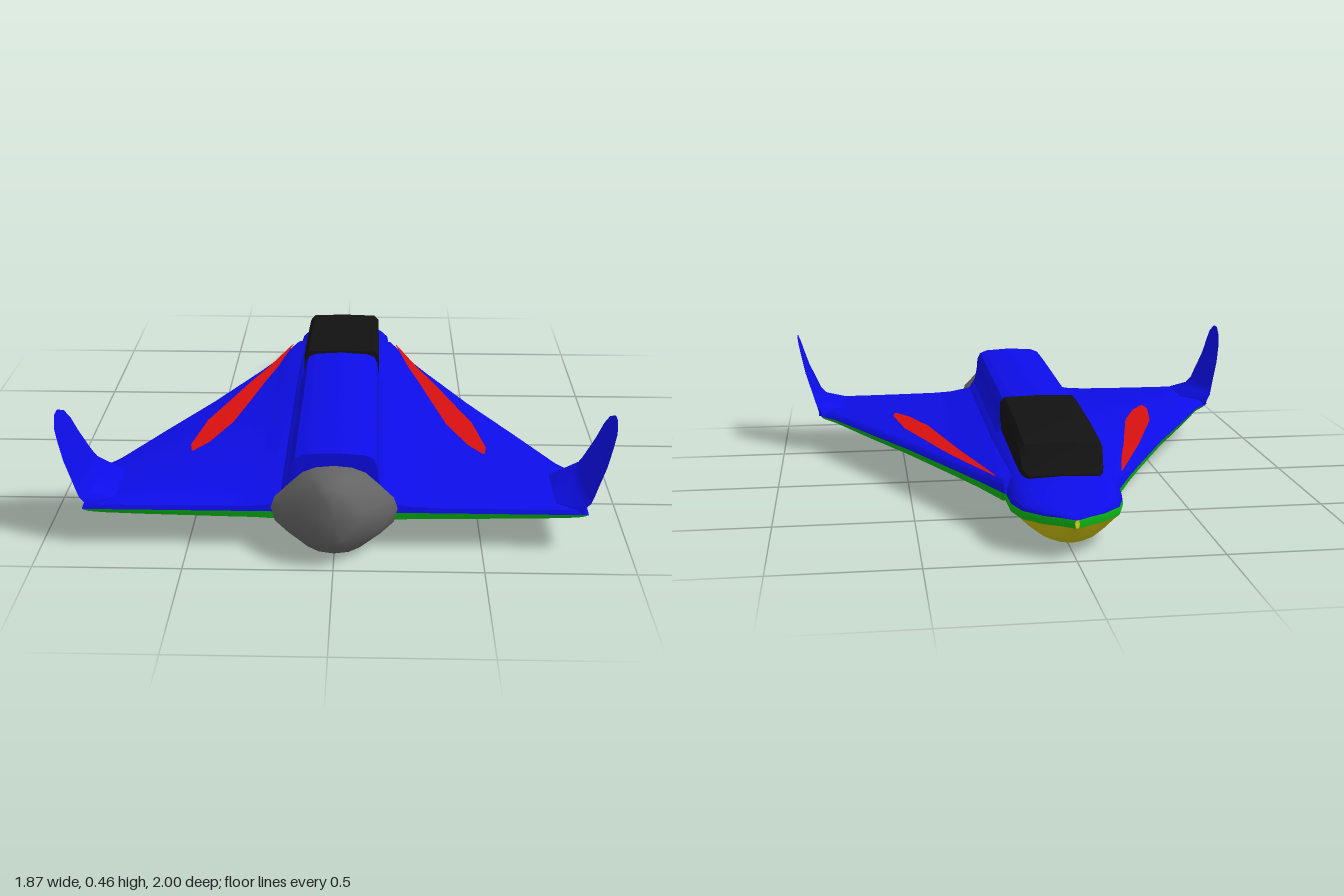
import * as THREE from 'three';
import { toCreasedNormals } from 'three/addons/utils/BufferGeometryUtils.js';

const paint = (color) => new THREE.MeshStandardMaterial({ color, side: THREE.DoubleSide });
const BLUE = paint(0x0d0de8), GREEN = paint(0x0ab414), YELLOW = paint(0xccc010);
const RED = paint(0xd81010), BLACK = paint(0x121212), GREY = paint(0x646464);

// Skin through a row of cross-sections; side = -1 mirrors it across x.
function loft(name, rings, material, { closed = false, cap = false, side = 1, crease = 0.7 } = {}) {
  let rows = rings;
  if (cap) {
    const collapse = (ring) => {
      const ends = closed ? ring : [ring[0], ring[ring.length - 1]];
      const c = [0, 1, 2].map((k) => ends.reduce((s, p) => s + p[k], 0) / ends.length);
      return ring.map(() => c);
    };
    rows = [collapse(rings[0]), ...rings, collapse(rings[rings.length - 1])];
  }
  const n = rows[0].length, index = [];
  for (let i = 0; i < rows.length - 1; i++) {
    for (let j = 0; j < (closed ? n : n - 1); j++) {
      const k = (j + 1) % n;
      const a = i * n + j, b = i * n + k, c = a + n, d = b + n;
      if (side > 0) index.push(a, b, c, b, d, c);
      else index.push(a, c, b, b, c, d);
    }
  }
  const geometry = new THREE.BufferGeometry();
  const points = rows.flat().map(([x, y, z]) => [x * side, y, z]).flat();
  geometry.setAttribute('position', new THREE.Float32BufferAttribute(points, 3));
  geometry.setIndex(index);
  const mesh = new THREE.Mesh(toCreasedNormals(geometry, crease), material);
  mesh.name = name;
  return mesh;
}

// Half outline from the +x edge to the centre line, completed by mirroring.
const arch = (half, z) => [
  ...half.map(([x, y]) => [x, y, z]),
  ...half.slice(0, -1).reverse().map(([x, y]) => [-x, y, z]),
];
// The same for an outline below, running from -x under to +x.
const bowl = (half, z) => arch(half.map(([x, y]) => [-x, y]), z);

// Hull stations: z, half width, keel height, deck height
const STATIONS = [
  [-1, 0.005, 0.112, 0.141], [-0.965, 0.055, 0.085, 0.15], [-0.94, 0.1, 0.06, 0.159],
  [-0.875, 0.163, 0.022, 0.179], [-0.79, 0.19, 0.003, 0.2], [-0.7, 0.193, 0, 0.222],
  [-0.1, 0.195, 0, 0.25], [0.85, 0.195, 0, 0.25],
];
const SEAM = 0.14, CHINE = 0.112;

function buildHull(group) {
  // Upper deck
  group.add(loft('upperHull', STATIONS.map(([z, w, , t]) => arch(
    [[1, 0], [0.98, 0.35], [0.86, 0.7], [0.6, 0.93], [0, 1]]
      .map(([u, v]) => [w * u, SEAM + (t - SEAM) * v]), z)), BLUE, { cap: true }));
  // Belly fairing
  group.add(loft('belly', STATIONS.map(([z, w, k]) => bowl(
    [[1, 1], [0.87, 0.83], [0.7, 0.54], [0.45, 0.2], [0.22, 0.05], [0, 0]]
      .map(([u, v]) => [w * u, k + (CHINE - k) * v]), z)), YELLOW, { cap: true }));
  // Chine band between deck and belly
  for (const side of [1, -1]) {
    group.add(loft(side > 0 ? 'leftChine' : 'rightChine', STATIONS.map(([z, w]) =>
      [[w, CHINE, z], [w + 0.003, 0.127, z], [w, SEAM, z]]), GREEN, { side }));
  }
  // Raised spine behind the canopy
  group.add(loft('spine', [[-0.12, 0.347], [0.3, 0.355], [0.65, 0.362], [0.86, 0.362]]
    .map(([z, t]) => arch([[0.175, 0.2], [0.155, 0.235], [0.146, 0.27], [0.142, t - 0.045],
      [0.13, t - 0.018], [0.1, t - 0.006], [0, t]], z)), BLUE, { cap: true }));
  // Canopy stations: z, half width, base, top
  group.add(loft('canopy', [
    [-0.1, 0.148, 0.255, 0.356], [-0.4, 0.147, 0.238, 0.342], [-0.61, 0.146, 0.222, 0.322],
    [-0.655, 0.145, 0.22, 0.311], [-0.7, 0.14, 0.213, 0.24], [-0.735, 0.12, 0.205, 0.217],
  ].reverse().map(([z, w, b, t]) => arch([[w * 0.97, 0.2], [w, b], [w, b + (t - b) * 0.75],
    [w * 0.88, t - (t - b) * 0.04], [0, t]], z)), BLACK, { cap: true }));
}

function buildEngine(group) {
  const outline = [[0, 0.005], [0.06, 0.012], [0.105, 0.03], [0.155, 0.065], [0.2, 0.11],
    [0.213, 0.16], [0.2, 0.2], [0.15, 0.25], [0.105, 0.292], [0.06, 0.31], [0, 0.316]];
  const ring = [...outline, ...outline.slice(1, -1).reverse().map(([x, y]) => [-x, y])];
  // z, width scale, height scale
  const steps = [[0.815, 0.8, 0.97], [0.86, 1, 1], [0.9, 0.82, 0.98], [0.95, 0.57, 0.86],
    [0.98, 0.43, 0.7], [1, 0.27, 0.56]];
  group.add(loft('engineNozzle', steps.map(([z, sx, sy]) => ring.map(([x, y]) => {
    const cy = 0.16 + Math.max(0, z - 0.9) * 0.25;
    return [x * sx, cy + (y - 0.16) * sy, z];
  })), GREY, { closed: true, cap: true, crease: 1 }));
}

// Wing stations: x, leading edge z, upper height, lower height
const WING = [
  [0.1, -0.7, 0.205, 0.105], [0.2, -0.69, 0.19, 0.106], [0.27, -0.53, 0.177, 0.11],
  [0.34, -0.38, 0.173, 0.111], [0.5, -0.05, 0.171, 0.114], [0.65, 0.23, 0.17, 0.117],
  [0.78, 0.48, 0.17, 0.121], [0.83, 0.54, 0.165, 0.125], [0.85, 0.57, 0.15, 0.138],
];
// Winglet stations: y, inner x, outer x, leading edge z, trailing edge z
const FIN = [
  [0.146, 0.73, 0.85, 0.53, 0.862], [0.172, 0.745, 0.857, 0.53, 0.864],
  [0.19, 0.82, 0.862, 0.545, 0.864], [0.215, 0.843, 0.869, 0.562, 0.862],
  [0.25, 0.858, 0.88, 0.58, 0.86], [0.32, 0.89, 0.902, 0.612, 0.856],
  [0.385, 0.911, 0.917, 0.645, 0.848], [0.43, 0.924, 0.928, 0.685, 0.835],
  [0.458, 0.932, 0.935, 0.745, 0.79],
];
// Stripe stations: inner x, inner z, outer x, outer z
const STRIPE = [
  [0.222, -0.61, 0.226, -0.61], [0.275, -0.36, 0.315, -0.36], [0.315, -0.2, 0.375, -0.2],
  [0.355, -0.02, 0.435, -0.02], [0.405, 0.2, 0.503, 0.18], [0.475, 0.38, 0.54, 0.4],
  [0.525, 0.455, 0.532, 0.455],
];

function buildWing(side) {
  const wing = new THREE.Group();
  wing.name = side > 0 ? 'leftWing' : 'rightWing';
  const seam = 0.145, te = 0.862;
  wing.add(loft('wingTop', WING.map(([x, le, top]) => {
    const h = top - seam;
    return [[x, seam, le], [x, seam + h * 0.6, le + 0.015], [x, top, le + 0.05],
      [x, top, te - 0.03], [x, seam + h * 0.6, te - 0.005], [x, seam, te]];
  }), BLUE, { side }));
  wing.add(loft('wingUnderside', WING.map(([x, le, , low]) => [[x, seam, te], [x, low + 0.01, te - 0.005],
    [x, low, te - 0.03], [x, low, le + 0.05], [x, low + 0.01, le + 0.015], [x, seam, le]]),
  GREEN, { side }));
  // Upturned winglet
  wing.add(loft('winglet', FIN.map(([y, xi, xo, zl, zt]) => {
    const c = zt - zl, xe = xo - (xo - xi) * 0.15;
    return [[xo, y, zl + 0.75 * c], [xo, y, zl + 0.25 * c], [xe, y, zl],
      [xi, y, zl + 0.25 * c], [xi, y, zl + 0.9 * c], [xe, y, zt]];
  }), BLUE, { closed: true, cap: true, side, crease: 0.9 }));
  // Painted stripe lying just above the upper skin
  const skin = (x) => {
    const i = Math.max(1, WING.findIndex((s) => s[0] >= x));
    const [a, b] = [WING[i - 1], WING[i]];
    return THREE.MathUtils.mapLinear(x, a[0], b[0], a[2], b[2]) + 0.003;
  };
  wing.add(loft('stripe', STRIPE.map(([xi, zi, xo, zo]) => [0, 0.5, 1].map((u) => {
    const x = xo + (xi - xo) * u;
    return [x, skin(x), zo + (zi - zo) * u];
  })), RED, { side }));
  return wing;
}

export function createModel() {
  const model = new THREE.Group();
  model.name = 'deltaWingCraft';
  buildHull(model);
  buildEngine(model);
  model.add(buildWing(1), buildWing(-1));
  return model;
}
